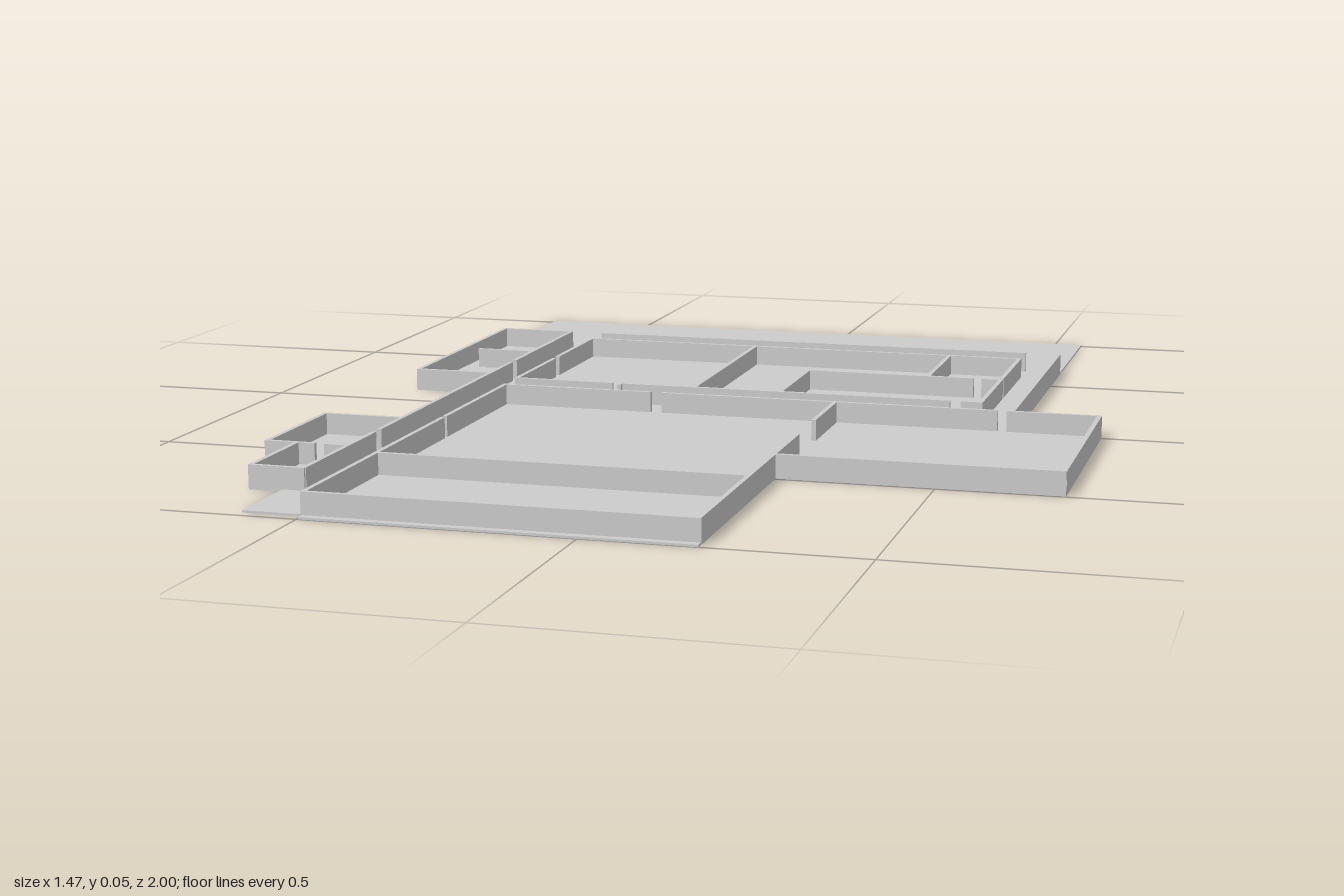
import * as THREE from 'three';

const WALL_HEIGHT = 0.045;
const WALL_THICKNESS = 0.009;
const FLOOR_THICKNESS = 0.004;

export function createModel() {
  const model = new THREE.Group();
  model.name = 'floorPlan';
  const material = new THREE.MeshStandardMaterial({ color: 0xcccccc, flatShading: true });

  // Floor slab: outline as [x, z] corners, pushed up from the ground
  const outline = [
    [-0.735, -1], [0.563, -1], [0.563, 0], [0.733, 0], [0.733, 0.495], [0.207, 0.495],
    [0.207, 1], [-0.497, 1], [-0.497, 0.98], [-0.61, 0.98], [-0.61, 0.82], [-0.675, 0.82],
    [-0.675, 0.628], [-0.735, 0.628], [-0.735, 0.363], [-0.572, 0.363], [-0.572, -0.11], [-0.735, -0.11],
  ];
  const shape = new THREE.Shape(outline.map(([x, z]) => new THREE.Vector2(x, -z)));
  const floorGeometry = new THREE.ExtrudeGeometry(shape, { depth: FLOOR_THICKNESS, bevelEnabled: false });
  floorGeometry.rotateX(-Math.PI / 2);
  const floor = new THREE.Mesh(floorGeometry, material);
  floor.name = 'floor';
  model.add(floor);

  const addWall = (parent, name, x, z, width, depth) => {
    const wall = new THREE.Mesh(new THREE.BoxGeometry(width, WALL_HEIGHT, depth), material);
    wall.name = name;
    wall.position.set(x, WALL_HEIGHT / 2, z);
    parent.add(wall);
  };

  // Each run is a fixed coordinate followed by [start, end] spans; the gaps are doorways
  const addRuns = (name, crossRuns, lengthRuns) => {
    const group = new THREE.Group();
    group.name = name;
    for (const [z, ...spans] of crossRuns)
      for (const [a, b] of spans) addWall(group, 'crossWall', (a + b) / 2, z, b - a, WALL_THICKNESS);
    for (const [x, ...spans] of lengthRuns)
      for (const [a, b] of spans) addWall(group, 'lengthWall', x, (a + b) / 2, WALL_THICKNESS, b - a);
    model.add(group);
  };

  // Back block with its inner rooms
  addRuns('backRooms', [
    [-0.64, [-0.495, 0.487]],
    [-0.565, [-0.499, 0.488]],
    [-0.317, [0.068, 0.427], [0.444, 0.488]],
    [-0.073, [-0.499, -0.285], [-0.262, 0.422], [0.444, 0.488]],
  ], [
    [-0.495, [-0.565, -0.327], [-0.305, -0.073]],
    [-0.11, [-0.565, -0.073]],
    [0.33, [-0.565, -0.317]],
    [0.072, [-0.317, -0.073]],
    [0.484, [-0.565, -0.327], [-0.31, -0.073]],
    [0.559, [-0.64, 0]],
  ]);
  addWall(model, 'doorStub', -0.267, -0.063, 0.008, 0.012);

  // Large front hall and the room on its left
  addRuns('frontHall', [
    [0, [-0.499, -0.18], [-0.157, 0.53], [0.548, 0.733]],
    [0.667, [-0.495, 0.203]],
    [0.98, [-0.499, 0.207]],
    [0.491, [0.203, 0.733]],
  ], [
    [-0.495, [0, 0.335], [0.347, 0.98]],
    [0.203, [0, 0.183], [0.315, 0.98]],
    [0.729, [0, 0.491]],
  ]);

  // Side rooms along the corridor
  addRuns('sideRooms', [
    [-0.64, [-0.735, -0.567]],
    [-0.375, [-0.695, -0.57]],
    [-0.113, [-0.735, -0.567]],
    [0.367, [-0.735, -0.567]],
    [0.624, [-0.735, -0.635], [-0.616, -0.567]],
    [0.816, [-0.675, -0.567]],
  ], [
    [-0.57, [-0.64, -0.262], [-0.238, 0.48], [0.504, 0.816]],
    [-0.731, [-0.64, -0.113], [0.367, 0.624]],
    [-0.671, [0.624, 0.816]],
  ]);

  return model;
}
